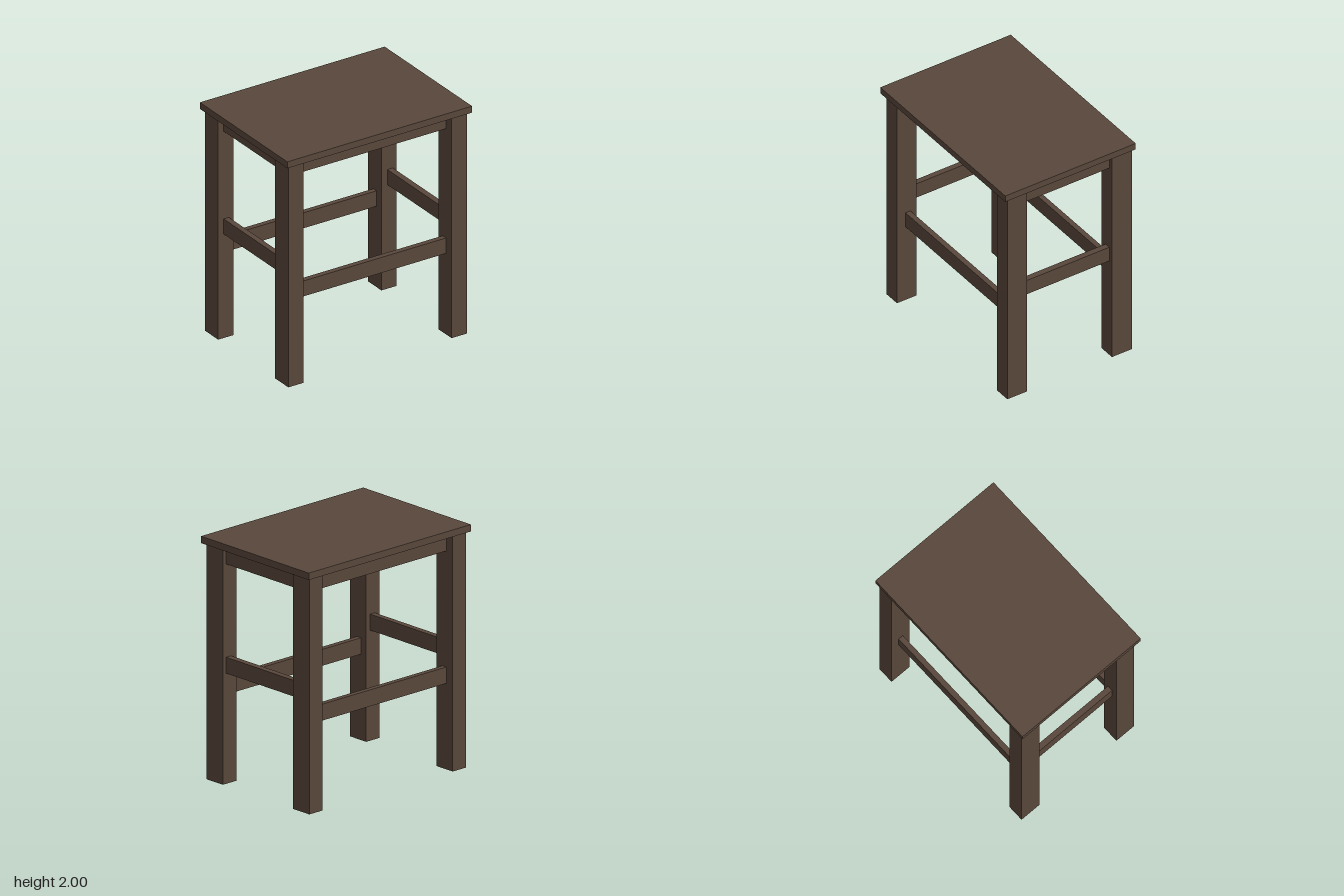
import * as THREE from 'three';

export function createModel() {
  const group = new THREE.Group();
  const wood = new THREE.MeshStandardMaterial({ color: 0x59473b });
  wood.name = 'dark wood';

  // Box given by its [min, max] extent on each axis
  function beam(name, [x0, x1], [y0, y1], [z0, z1]) {
    const mesh = new THREE.Mesh(new THREE.BoxGeometry(x1 - x0, y1 - y0, z1 - z0), wood);
    mesh.position.set((x0 + x1) / 2, (y0 + y1) / 2, (z0 + z1) / 2);
    mesh.name = name;
    group.add(mesh);
  }

  // Seat board
  beam('seat', [-0.867, 0.866], [1.943, 2], [-0.617, 0.615]);

  // Four square-cut legs
  const legX = { right: [-0.833, -0.69], left: [0.698, 0.841] };
  const legZ = { front: [0.392, 0.578], back: [-0.597, -0.41] };
  for (const [side, x] of Object.entries(legX)) {
    for (const [end, z] of Object.entries(legZ)) {
      beam(`${end} ${side} leg`, x, [0, 1.943], z);
    }
  }

  // Long rails stop just short of the seat; long stretchers sit low
  const spanX = [legX.right[1], legX.left[0]];
  for (const [end, z] of Object.entries({ front: [0.451, 0.498], back: [-0.524, -0.479] })) {
    beam(`${end} rail`, spanX, [1.8, 1.935], z);
    beam(`${end} stretcher`, spanX, [0.708, 0.843], z);
  }

  // Short side rails and the higher side stretchers
  const spanZ = [legZ.back[1], legZ.front[0]];
  for (const [side, x] of Object.entries({ right: [-0.782, -0.733], left: [0.753, 0.805] })) {
    beam(`${side} side rail`, x, [1.81, 1.943], spanZ);
    beam(`${side} side stretcher`, x, [0.91, 1.043], spanZ);
  }

  return group;
}
